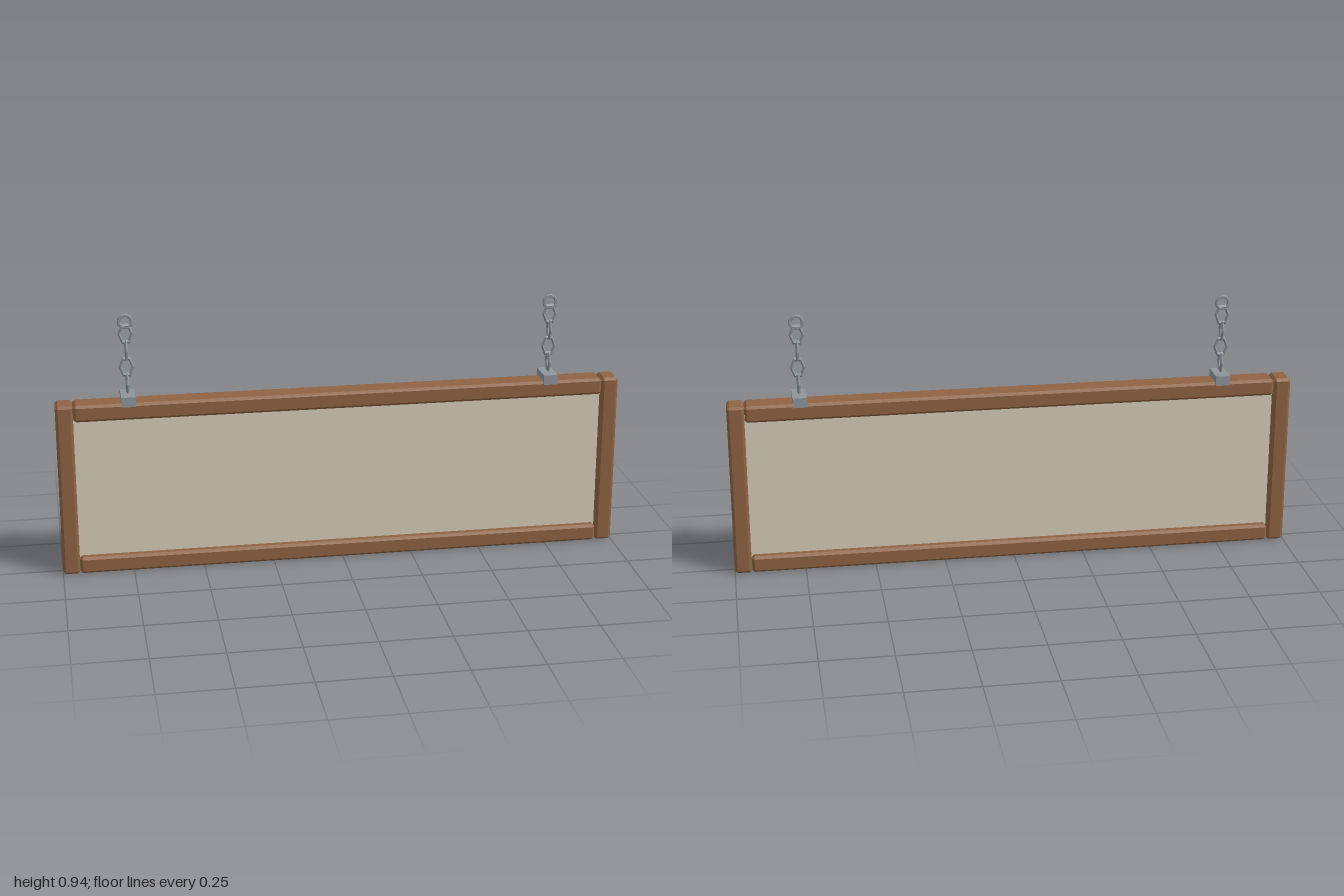
import * as THREE from 'three';
import { ConvexGeometry } from 'three/addons/geometries/ConvexGeometry.js';

const wood = new THREE.MeshStandardMaterial({ color: 0x8e6342, flatShading: true });
const cream = new THREE.MeshStandardMaterial({ color: 0xd6cdb8, flatShading: true });
const steel = new THREE.MeshStandardMaterial({ color: 0x8d959b, flatShading: true });

// Box with every edge and corner cut by c
function chamferedBox(w, h, d, c) {
  const points = [];
  for (const sx of [-1, 1]) for (const sy of [-1, 1]) for (const sz of [-1, 1]) {
    for (let axis = 0; axis < 3; axis++) {
      const p = [w / 2 - c, h / 2 - c, d / 2 - c];
      p[axis] += c;
      points.push(new THREE.Vector3(sx * p[0], sy * p[1], sz * p[2]));
    }
  }
  return new ConvexGeometry(points);
}

function add(parent, name, geometry, material, x, y, z = 0) {
  const mesh = new THREE.Mesh(geometry, material);
  mesh.name = name;
  mesh.position.set(x, y, z);
  parent.add(mesh);
  return mesh;
}

export function createModel() {
  const sign = new THREE.Group();
  sign.name = 'hangingSign';

  // Board, set back inside the frame
  add(sign, 'panel', new THREE.BoxGeometry(1.89, 0.53, 0.03), cream, 0, 0.3125);

  // Wooden frame
  const railGeometry = chamferedBox(1.878, 0.06, 0.086, 0.009);
  add(sign, 'topRail', railGeometry, wood, 0, 0.595);
  add(sign, 'bottomRail', railGeometry, wood, 0, 0.03);
  const postGeometry = chamferedBox(0.06, 0.625, 0.086, 0.009);
  add(sign, 'leftPost', postGeometry, wood, 0.97, 0.3125);
  add(sign, 'rightPost', postGeometry, wood, -0.97, 0.3125);

  // Brackets with chains of alternating six-sided links
  const linkGeometry = new THREE.TorusGeometry(0.022, 0.0055, 4, 6);
  linkGeometry.scale(1, 1.5, 1);
  const ringGeometry = new THREE.TorusGeometry(0.022, 0.006, 6, 12);

  for (const side of [1, -1]) {
    const hanger = new THREE.Group();
    hanger.name = side > 0 ? 'leftHanger' : 'rightHanger';
    hanger.position.x = side * 0.748;
    add(hanger, 'bracket', new THREE.BoxGeometry(0.05, 0.035, 0.097), steel, 0, 0.632);
    for (let i = 0; i < 4; i++) {
      const link = add(hanger, 'chainLink', linkGeometry, steel, 0, 0.687 + i * 0.059);
      if (i % 2 === 0) link.rotation.y = Math.PI / 2;
    }
    add(hanger, 'topRing', ringGeometry, steel, 0, 0.908);
    sign.add(hanger);
  }
  return sign;
}
